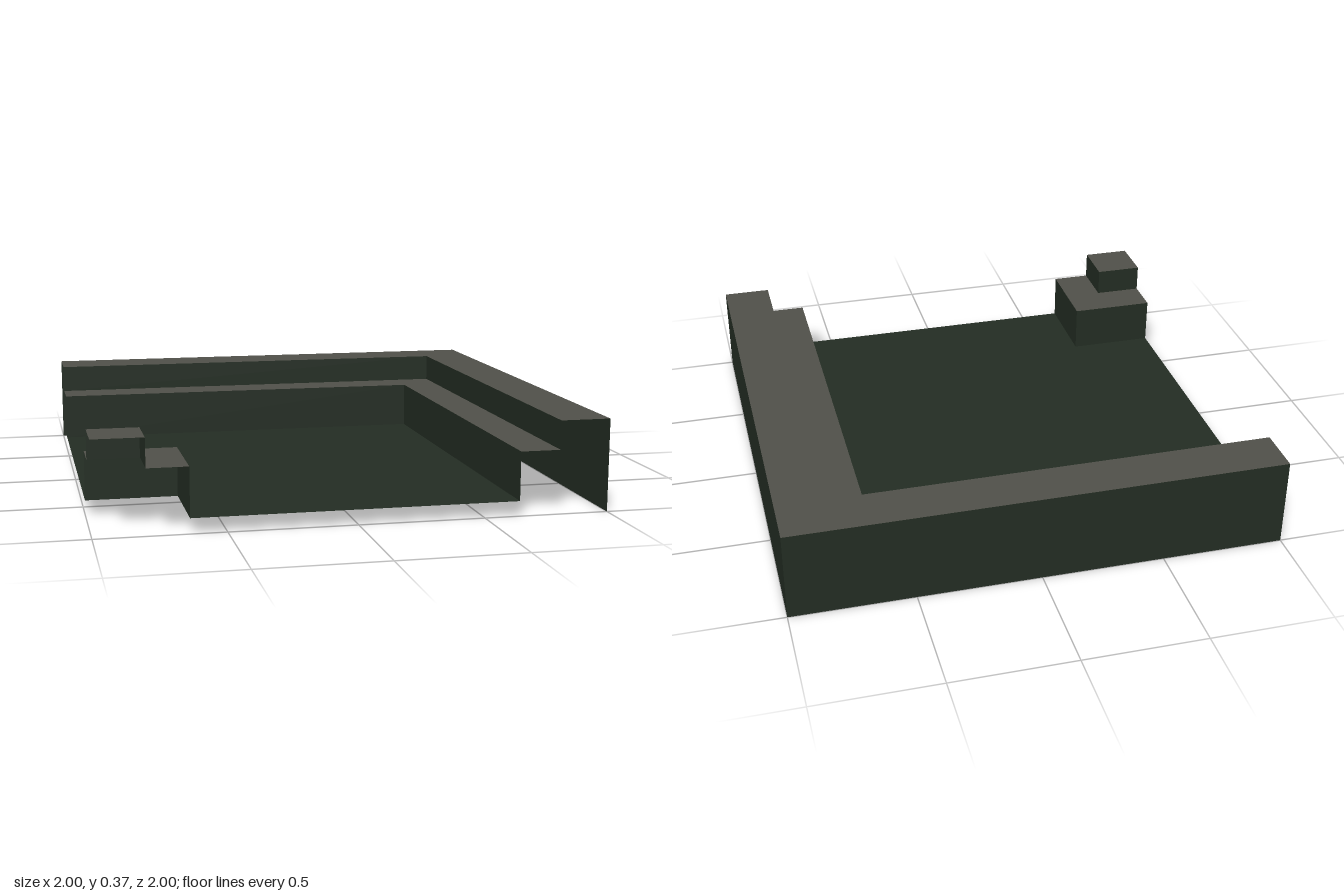
import * as THREE from 'three';

const RIM_Y = 0.37, LEDGE_Y = 0.255, FLOOR_Y = 0.06;
const RIM = 0.8, LEDGE = 0.64; // distance of each step from the centre

export function createModel() {
  const group = new THREE.Group();
  const stone = new THREE.MeshStandardMaterial({ name: 'greyTop', color: 0x51514a, side: THREE.DoubleSide });
  const green = new THREE.MeshStandardMaterial({ name: 'darkGreen', color: 0x232d23, side: THREE.DoubleSide });

  const add = (name, geometry, material) => {
    const mesh = new THREE.Mesh(geometry, material);
    mesh.name = name;
    group.add(mesh);
  };

  // Level surface from an outline of [x, z] points
  const level = (name, outline, y, material) => {
    const shape = new THREE.Shape(outline.map(([x, z]) => new THREE.Vector2(x, -z)));
    add(name, new THREE.ShapeGeometry(shape).rotateX(-Math.PI / 2).translate(0, y, 0), material);
  };

  // Upright surface standing along a path of [x, z] points, facing the path's right
  const wall = (name, path, y0, y1) => {
    const points = [];
    for (let i = 0; i + 1 < path.length; i++) {
      const [[ax, az], [bx, bz]] = [path[i], path[i + 1]];
      points.push(ax, y0, az, bx, y0, bz, bx, y1, bz, ax, y0, az, bx, y1, bz, ax, y1, az);
    }
    const geometry = new THREE.BufferGeometry();
    geometry.setAttribute('position', new THREE.Float32BufferAttribute(points, 3));
    geometry.computeVertexNormals();
    add(name, geometry, green);
  };

  // Long bend around the back and left sides, and the small opposite corner
  const bend = (d) => [[-1, -d], [d, -d], [d, 1]];
  const corner = (d) => [[-d, 1], [-d, d], [-1, d]];
  const band = (a, b) => [...a, ...b.slice().reverse()];

  // Sunken floor with the corner cut out
  level('floor', [...bend(LEDGE), ...corner(LEDGE)], FLOOR_Y, green);

  // Long stepped border
  level('rim', band(bend(RIM), bend(1)), RIM_Y, stone);
  level('ledge', band(bend(LEDGE), bend(RIM)), LEDGE_Y, stone);
  wall('upperStep', bend(RIM), LEDGE_Y, RIM_Y);
  wall('lowerStep', bend(LEDGE), FLOOR_Y, LEDGE_Y);
  wall('outerWall', bend(1).reverse(), 0, RIM_Y);

  // Stepped inner corner
  level('cornerRim', [...corner(RIM), [-1, 1]], RIM_Y, stone);
  level('cornerLedge', band(corner(LEDGE), corner(RIM)), LEDGE_Y, stone);
  wall('cornerUpperStep', corner(RIM), LEDGE_Y, RIM_Y);
  wall('cornerLowerStep', corner(LEDGE), FLOOR_Y, LEDGE_Y);

  return group;
}
